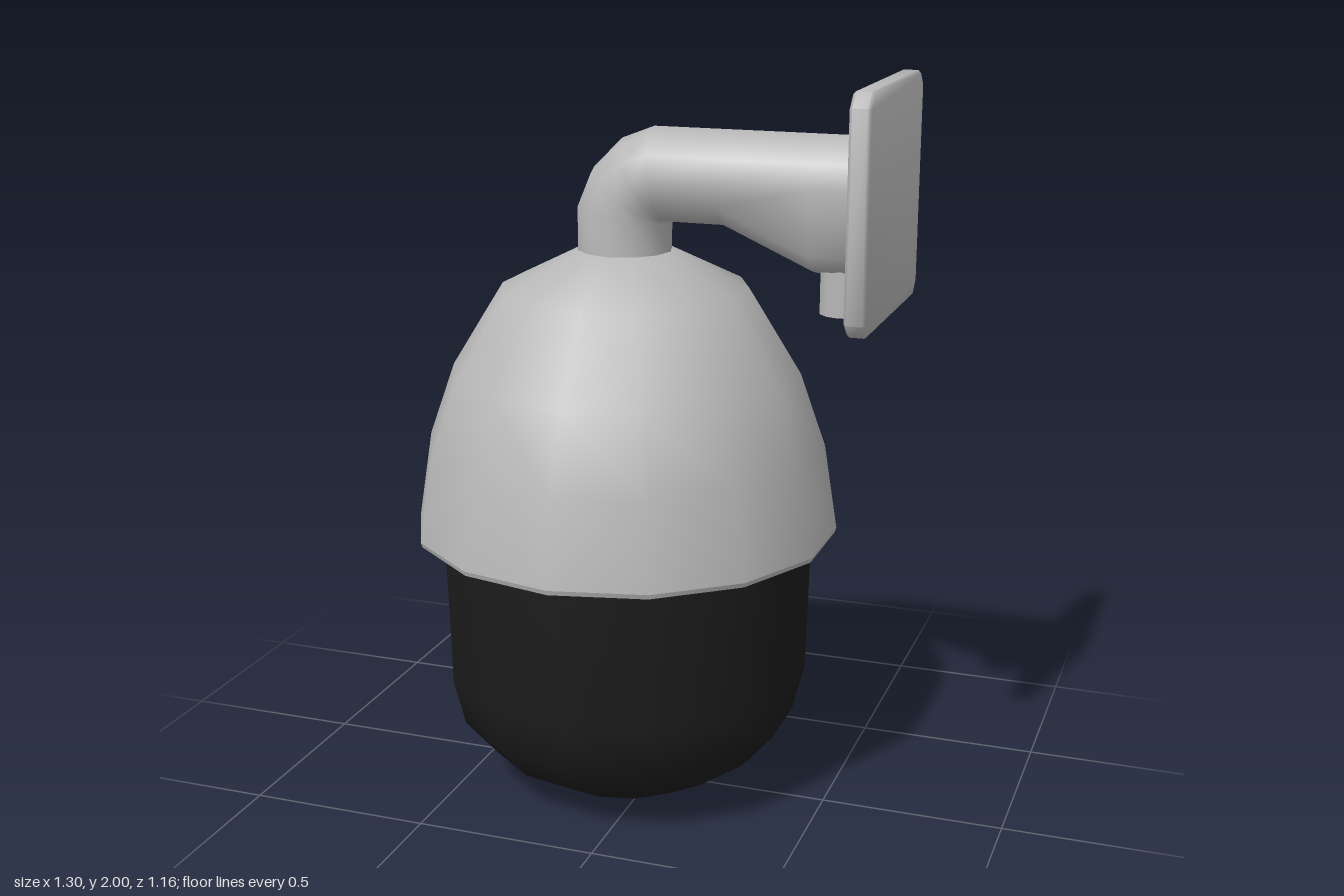
import * as THREE from 'three';
import { toCreasedNormals } from 'three/addons/utils/BufferGeometryUtils.js';

const SIDES = 14;
const AXIS_X = -0.083;

function lathe(profile, sides) {
  return new THREE.LatheGeometry(profile.map(([r, y]) => new THREE.Vector2(r, y)), sides);
}

// Bent arm: each section is an outer point, an inner point and a drop for its lower half
function armGeometry() {
  const sections = [
    [-0.21, 1.51, 0.045, 1.51, 0],
    [-0.21, 1.65, 0.045, 1.61, 0],
    [-0.17, 1.745, 0.045, 1.61, 0],
    [-0.09, 1.825, 0.045, 1.61, 0],
    [0.0, 1.86, 0.045, 1.61, 0],
    [0.2, 1.86, 0.2, 1.61, 0],
    [0.45, 1.86, 0.45, 1.61, 0.11],
    [0.6, 1.86, 0.6, 1.61, 0.11],
  ];
  const n = 12, positions = [], index = [];
  sections.forEach(([ox, oy, ix, iy, drop], s) => {
    for (let j = 0; j < n; j++) {
      const a = (j / n) * Math.PI * 2, c = Math.cos(a);
      const t = (1 + c) / 2;
      positions.push(ix + (ox - ix) * t, iy + (oy - iy) * t - (c < -0.01 ? drop : 0), Math.sin(a) * 0.127);
      if (s === sections.length - 1) continue;
      const p = s * n + j, q = s * n + (j + 1) % n;
      index.push(p, q, p + n, q, q + n, p + n);
    }
  });
  const g = new THREE.BufferGeometry();
  g.setAttribute('position', new THREE.Float32BufferAttribute(positions, 3));
  g.setIndex(index);
  g.computeVertexNormals();
  return toCreasedNormals(g, 0.95);
}

// Square plate with clipped corners and softened edges
function plateGeometry() {
  const bevel = 0.008, h = 0.295 - bevel, v = 0.3 - bevel, c = 0.032;
  const shape = new THREE.Shape([
    [-h + c, -v], [h - c, -v], [h, -v + c], [h, v - c],
    [h - c, v], [-h + c, v], [-h, v - c], [-h, -v + c],
  ].map(([x, y]) => new THREE.Vector2(x, y)));
  const g = new THREE.ExtrudeGeometry(shape, {
    depth: 0.055 - 2 * bevel, bevelEnabled: true,
    bevelThickness: bevel, bevelSize: bevel, bevelSegments: 1,
  });
  g.translate(0, 0, bevel);
  g.rotateY(Math.PI / 2);
  return toCreasedNormals(g, 0.9);
}

export function createModel() {
  const model = new THREE.Group();
  model.name = 'domeCamera';
  const grey = new THREE.MeshStandardMaterial({ color: 0xb8b8b8 });
  grey.name = 'housingGrey';
  const black = new THREE.MeshStandardMaterial({ color: 0x1c1c1c });
  black.name = 'tintedBlack';

  const add = (name, geometry, material, x = 0, y = 0, z = 0) => {
    const mesh = new THREE.Mesh(geometry, material);
    mesh.name = name;
    mesh.position.set(x, y, z);
    model.add(mesh);
  };

  // Housing shell, its rim and underside
  add('housing', lathe([[0.582, 0.765], [0.545, 1.0], [0.475, 1.2], [0.334, 1.43], [0.13, 1.53], [0, 1.53]], SIDES), grey, AXIS_X);
  add('housingRim', lathe([[0.578, 0.752], [0.582, 0.765]], SIDES), grey, AXIS_X);
  add('housingUnderside', lathe([[0.5, 0.752], [0.578, 0.752]], SIDES), grey, AXIS_X);

  // Tinted lower dome
  add('lowerDome', lathe([[0, 0.003], [0.23, 0.025], [0.382, 0.115], [0.472, 0.22], [0.504, 0.35], [0.515, 0.76]], SIDES), black, AXIS_X);

  // Wall bracket
  add('arm', armGeometry(), grey);
  add('wallPlate', plateGeometry(), grey, 0.59, 1.7, 0);
  add('cableOutlet', toCreasedNormals(new THREE.CylinderGeometry(0.068, 0.068, 0.12, 12), 0.9), grey, 0.523, 1.46, 0);

  return model;
}
